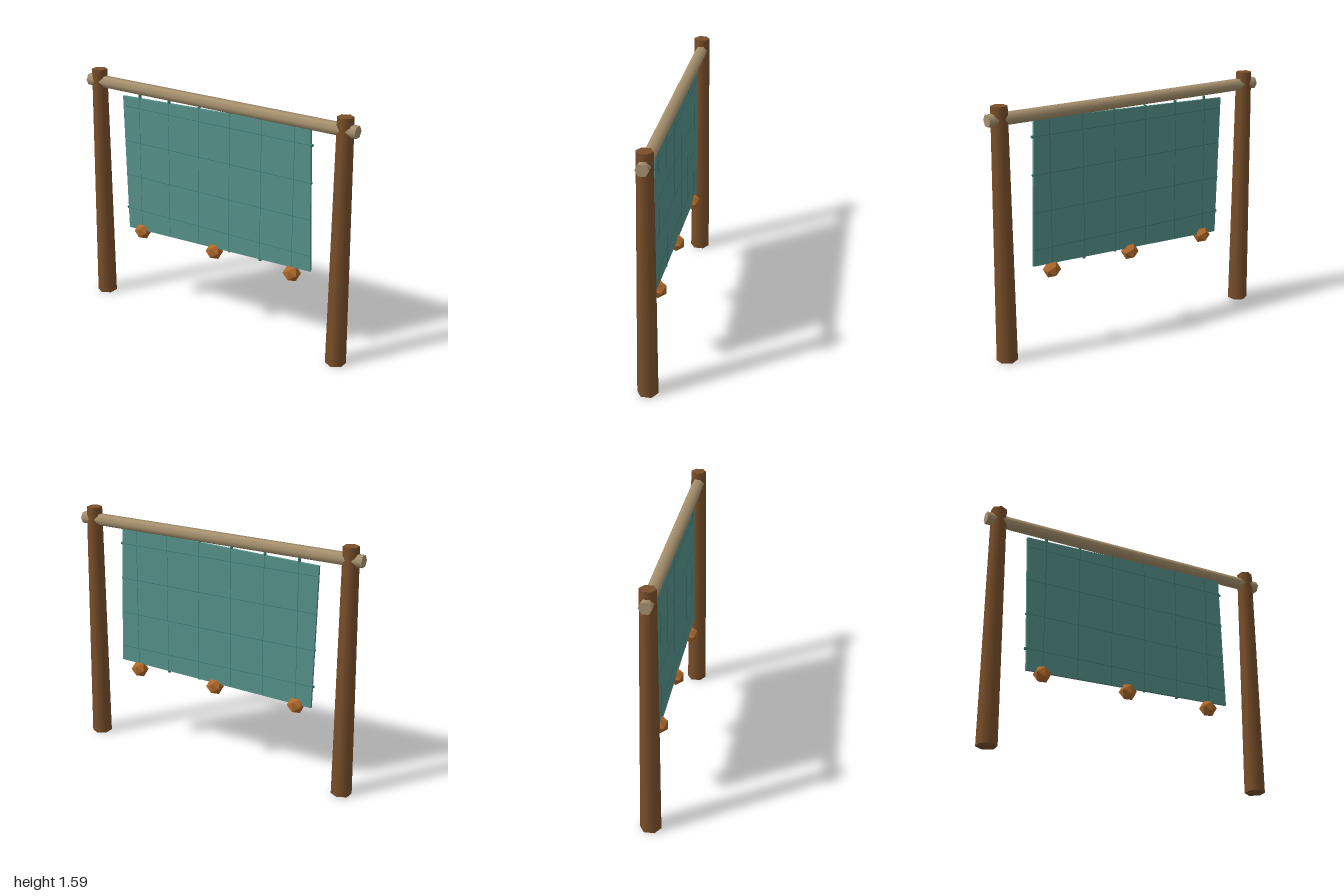
import * as THREE from 'three';

const material = (color) => new THREE.MeshStandardMaterial({ color });

export function createModel() {
  const model = new THREE.Group();
  model.name = 'hangingNetFrame';

  const postWood = material(0x7a4f2a);
  const beamWood = material(0xa8926f);
  const cloth = material(0x55928a);
  const cord = material(0x36776f);
  const clay = material(0xb0682a);

  const add = (name, geometry, mat, x, y, z = 0, tilt = 0) => {
    const mesh = new THREE.Mesh(geometry, mat);
    mesh.name = name;
    mesh.position.set(x, y, z);
    mesh.rotation.z = tilt;
    model.add(mesh);
    return mesh;
  };

  // Two tapered six-sided posts
  const postHeight = 1.585;
  const postGeometry = new THREE.CylinderGeometry(0.05, 0.065, postHeight, 6);
  add('leftPost', postGeometry, postWood, 0.917, postHeight / 2);
  add('rightPost', postGeometry, postWood, -0.917, postHeight / 2);

  // Crossbeam through the post tops
  add('crossbeam', new THREE.CylinderGeometry(0.04, 0.04, 2, 6), beamWood, 0, 1.505, 0, Math.PI / 2);

  // Slightly tilted net panel
  add('netPanel', new THREE.BoxGeometry(1.412, 0.912, 0.016), cloth, 0, 1.001, 0, 0.029);

  // Upright and level cords, standing proud on both faces
  const uprightCord = new THREE.CylinderGeometry(0.009, 0.009, 0.92, 6);
  for (let i = 0; i < 6; i++) {
    add('uprightCord', uprightCord, cord, -0.585 + i * 0.234, 1.003);
  }
  const levelCord = new THREE.CylinderGeometry(0.009, 0.009, 1.415, 6);
  for (let i = 0; i < 4; i++) {
    add('levelCord', levelCord, cord, 0, 0.667 + i * 0.2345, 0, Math.PI / 2);
  }

  // Faceted weights along the lower edge
  const weight = new THREE.IcosahedronGeometry(0.057, 0);
  for (const x of [-0.585, 0, 0.585]) add('netWeight', weight, clay, x, 0.52);

  return model;
}
